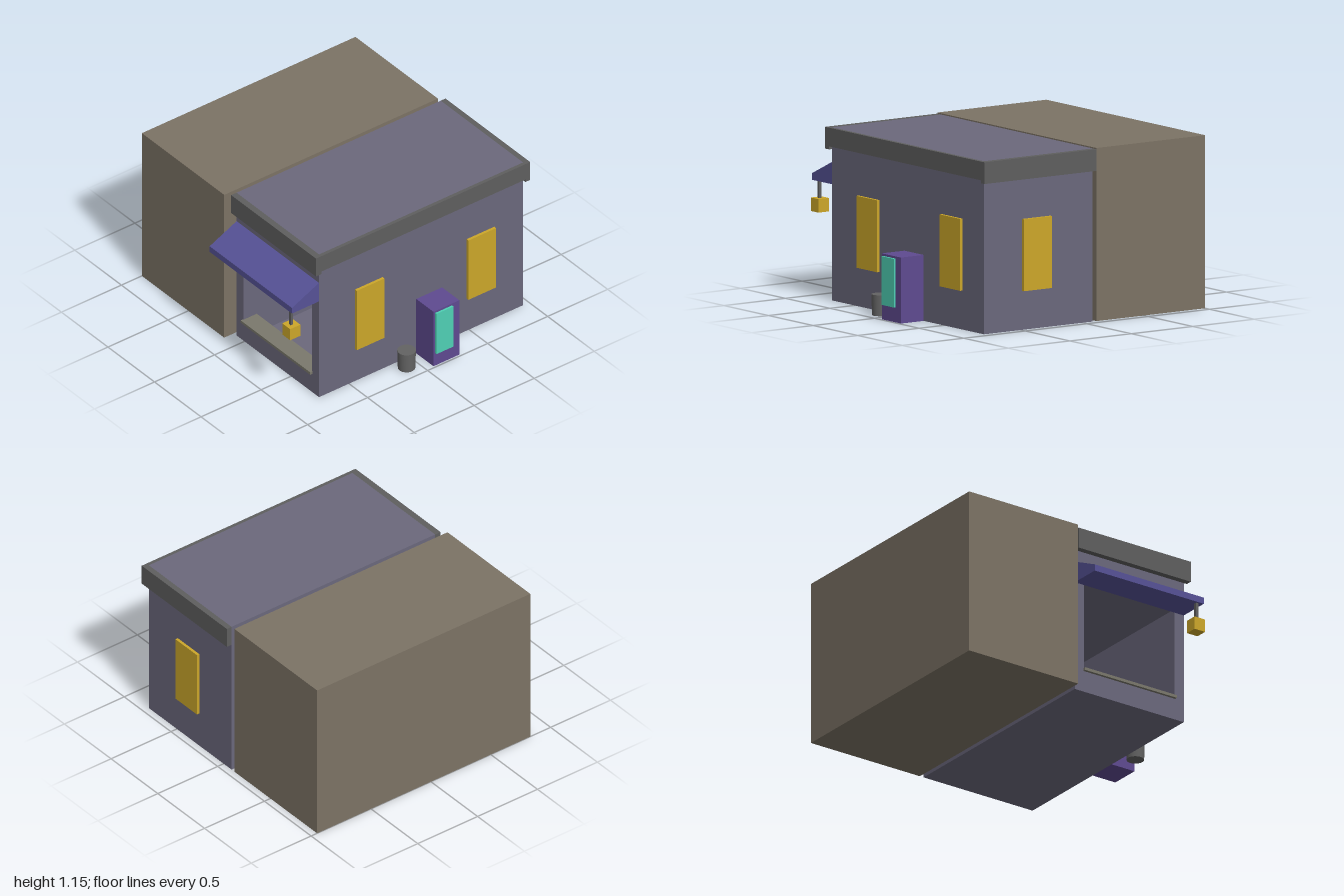
import * as THREE from 'three';

const COLORS = {
  wall: 0x6b687c, brown: 0x7c7365, trim: 0x5f5f5f, awning: 0x565296,
  purple: 0x5f4a90, teal: 0x4fd0b5, shelf: 0x7a786c, yellow: 0xcca72a, bin: 0x636363,
};

export function createModel() {
  const model = new THREE.Group();
  const mats = {};
  for (const key in COLORS) mats[key] = new THREE.MeshStandardMaterial({ color: COLORS[key] });

  const add = (name, geometry, mat) => {
    const mesh = new THREE.Mesh(geometry, mats[mat]);
    mesh.name = name;
    model.add(mesh);
    return mesh;
  };
  // Box given by its limits on each axis
  const box = (name, mat, [x0, x1], [y0, y1], [z0, z1]) => {
    const mesh = add(name, new THREE.BoxGeometry(x1 - x0, y1 - y0, z1 - z0), mat);
    mesh.position.set((x0 + x1) / 2, (y0 + y1) / 2, (z0 + z1) / 2);
    return mesh;
  };
  const rect = (Kind, x0, x1, y0, y1) => new Kind([
    new THREE.Vector2(x0, y0), new THREE.Vector2(x1, y0),
    new THREE.Vector2(x1, y1), new THREE.Vector2(x0, y1),
  ]);

  // Neighbouring plain building
  box('neighbourBuilding', 'brown', [-1, -0.115], [0, 1.155], [-0.95, 0.83]);

  // Shop: a shell open at the front, closed by a back wall
  const shell = rect(THREE.Shape, -0.085, 0.8, 0, 1.155);
  shell.holes.push(rect(THREE.Path, -0.01, 0.725, 0.015, 0.8));
  const shop = add('shopWalls', new THREE.ExtrudeGeometry(shell, { depth: 1.65, bevelEnabled: false }), 'wall');
  shop.position.z = -0.9;
  box('backWall', 'wall', [-0.085, 0.8], [0, 1.155], [-0.95, -0.9]);
  box('frontSill', 'wall', [-0.01, 0.725], [0, 0.15], [0.7, 0.75]);

  // Roof trim on the three outer sides
  box('frontTrim', 'trim', [-0.085, 0.825], [1.01, 1.155], [0.75, 0.795]);
  box('backTrim', 'trim', [-0.085, 0.825], [1.01, 1.155], [-0.99, -0.95]);
  box('sideTrim', 'trim', [0.8, 0.825], [1.03, 1.155], [-0.95, 0.75]);

  // Counter and the shelves on the back wall
  box('counter', 'shelf', [-0.015, 0.73], [0.15, 0.17], [0.64, 0.77]);
  for (const y of [0.335, 0.49, 0.665]) {
    box('shelf', 'shelf', [-0.005, 0.725], [y, y + 0.02], [-0.9, -0.75]);
  }

  // Sloping awning, its side profile swept along x
  const profile = new THREE.Shape([
    [-0.75, 0.775], [-0.75, 0.925], [-0.975, 0.82], [-0.975, 0.775],
  ].map(([x, y]) => new THREE.Vector2(x, y)));
  const awning = add('awning', new THREE.ExtrudeGeometry(profile, { depth: 0.885, bevelEnabled: false }), 'awning');
  awning.rotation.y = Math.PI / 2;
  awning.position.x = -0.085;

  // Hanging lantern
  box('lanternRod', 'trim', [0.748, 0.768], [0.65, 0.78], [0.94, 0.96]);
  box('lantern', 'yellow', [0.715, 0.8], [0.565, 0.655], [0.905, 0.99]);

  // Windows
  for (const z of [0.335, -0.595]) {
    box('sideWindow', 'yellow', [0.8, 0.82], [0.26, 0.74], [z - 0.115, z + 0.115]);
  }
  box('backWindow', 'yellow', [0.26, 0.49], [0.26, 0.74], [-0.97, -0.95]);

  // Vending machine
  box('vendingMachine', 'purple', [0.8, 0.985], [0, 0.44], [-0.275, -0.06]);
  box('vendingPanel', 'teal', [0.985, 1], [0.1, 0.425], [-0.215, -0.075]);

  // Rubbish bin
  const bin = add('bin', new THREE.CylinderGeometry(0.062, 0.058, 0.14, 32), 'bin');
  bin.position.set(0.886, 0.07, 0.087);

  return model;
}
